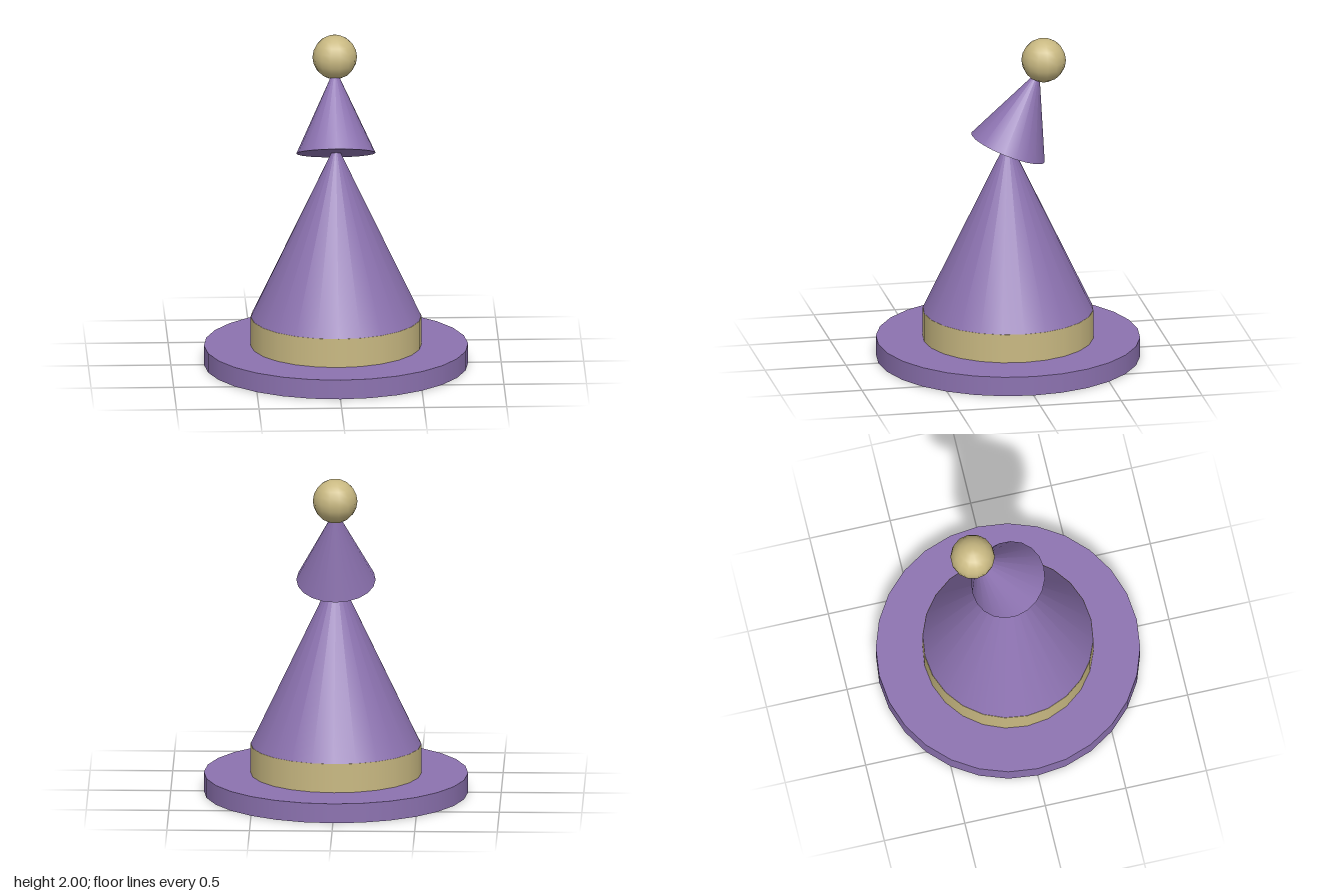
import * as THREE from 'three';

const purple = new THREE.MeshStandardMaterial({ color: 0x8c72b0 });
purple.name = 'purple';
const gold = new THREE.MeshStandardMaterial({ color: 0xc9b982 });
gold.name = 'gold';

export function createModel() {
  const hat = new THREE.Group();
  hat.name = 'pointedHat';

  const add = (name, geometry, material, y, z = 0, tilt = 0) => {
    const mesh = new THREE.Mesh(geometry, material);
    mesh.name = name;
    mesh.position.set(0, y, z);
    mesh.rotation.x = tilt;
    hat.add(mesh);
  };

  // Flat brim
  add('brim', new THREE.CylinderGeometry(0.8, 0.8, 0.12, 28), purple, 0.06);

  // Band around the base of the crown
  add('band', new THREE.CylinderGeometry(0.518, 0.518, 0.178, 24), gold, 0.209);

  // Main crown cone, standing on the band
  add('crown', new THREE.ConeGeometry(0.516, 1.085, 24, 1, true), purple, 0.298 + 1.085 / 2);

  // Upper cone, bent backwards about the centre of its base
  const tilt = -0.38;
  const height = 0.52;
  const tip = new THREE.ConeGeometry(0.24, height, 20).translate(0, height / 2, 0);
  add('bentTip', tip, purple, 1.322, 0, tilt);

  // Ball on the point
  add('pompom', new THREE.SphereGeometry(0.135, 14, 10), gold, 1.865, -0.22);

  return hat;
}
